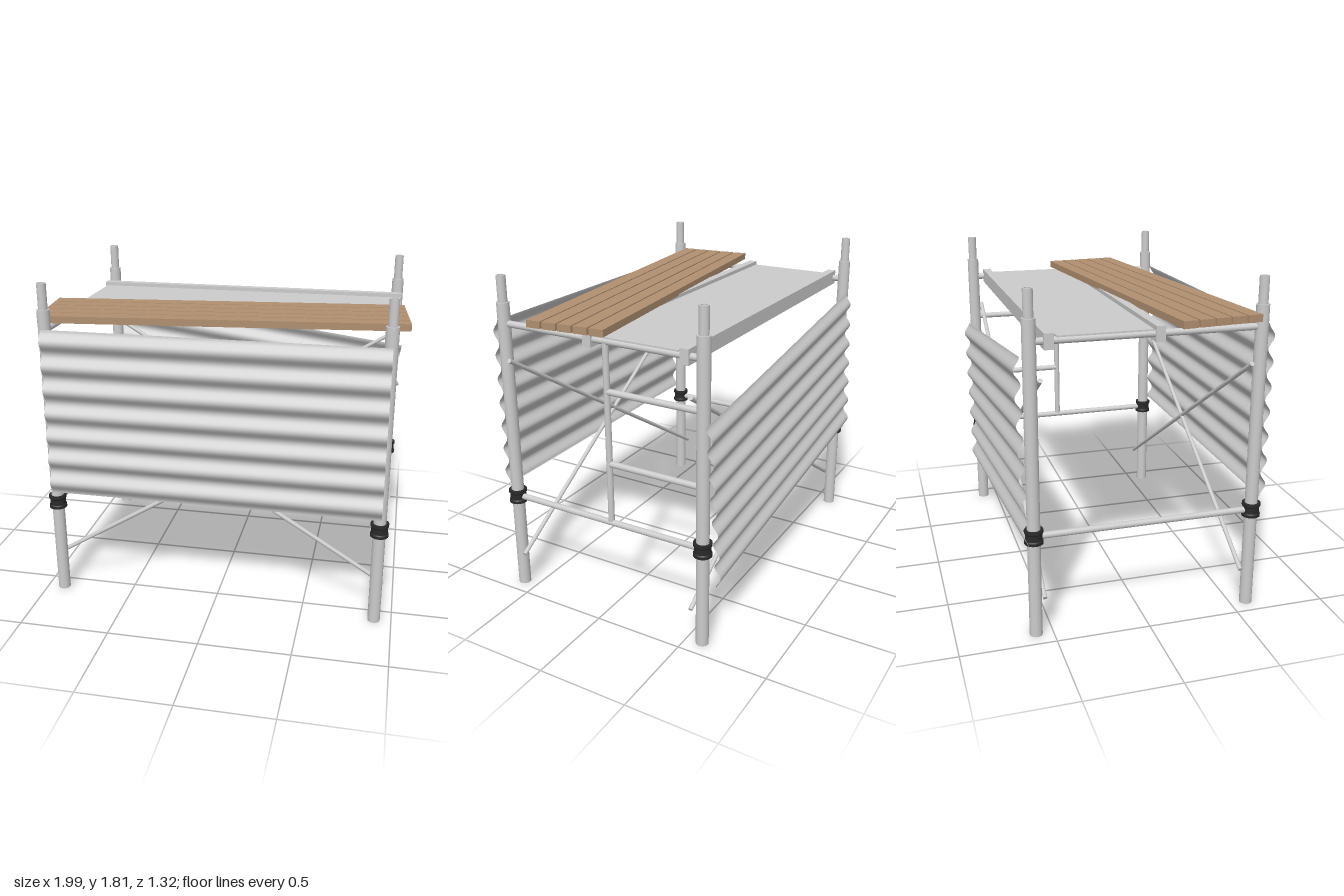
import * as THREE from 'three';

const steel = new THREE.MeshStandardMaterial({ color: 0xcccccc });
const sheetSteel = new THREE.MeshStandardMaterial({ color: 0xcccccc, side: THREE.DoubleSide });
const rubber = new THREE.MeshStandardMaterial({ color: 0x2a2a2a });
const wood = new THREE.MeshStandardMaterial({ color: 0xb08f70 });

const POST_X = 0.905;
const POST_Z = 0.59;

// Lathe with hard edges: every profile segment keeps its own normals
function turned(points, material, name) {
  const group = new THREE.Group();
  group.name = name;
  for (let i = 0; i + 1 < points.length; i++) {
    const pair = [points[i], points[i + 1]].map(([r, y]) => new THREE.Vector2(r, y));
    group.add(new THREE.Mesh(new THREE.LatheGeometry(pair, 24), material));
  }
  group.children.forEach((m) => { m.name = name; });
  return group;
}

// Round bar between two points
function bar(name, from, to, radius) {
  const a = new THREE.Vector3(...from);
  const b = new THREE.Vector3(...to);
  const mesh = new THREE.Mesh(new THREE.CylinderGeometry(radius, radius, a.distanceTo(b), 16), steel);
  mesh.position.copy(a).add(b).multiplyScalar(0.5);
  mesh.quaternion.setFromUnitVectors(new THREE.Vector3(0, 1, 0), b.sub(a).normalize());
  mesh.name = name;
  return mesh;
}

function box(name, size, position, material) {
  const mesh = new THREE.Mesh(new THREE.BoxGeometry(...size), material);
  mesh.position.set(...position);
  mesh.name = name;
  return mesh;
}

// Sheet with seven horizontal waves, bulging towards +z
function corrugatedSheet(name) {
  const width = 1.83, height = 0.94, waves = 7;
  const geometry = new THREE.PlaneGeometry(width, height, 1, waves * 16);
  const p = geometry.attributes.position;
  for (let i = 0; i < p.count; i++) {
    const phase = ((p.getY(i) + height / 2) / height) * waves * Math.PI * 2;
    p.setZ(i, -0.016 * Math.cos(phase));
  }
  geometry.computeVertexNormals();
  const mesh = new THREE.Mesh(geometry, sheetSteel);
  mesh.name = name;
  return mesh;
}

export function createModel() {
  const model = new THREE.Group();
  model.name = 'scaffold';

  // Hollow posts with a thinner spigot on top, and a dark collar on each
  const postProfile = [
    [0.024, 0.05], [0.024, 0], [0.034, 0], [0.034, 1.67], [0.025, 1.67],
    [0.025, 1.81], [0.017, 1.81], [0.017, 1.7], [0, 1.7],
  ];
  const collarProfile = [
    [0.033, 0.525], [0.049, 0.525], [0.049, 0.54], [0.044, 0.546],
    [0.044, 0.578], [0.049, 0.584], [0.049, 0.6], [0.033, 0.6],
  ];
  for (const x of [-POST_X, POST_X]) {
    for (const z of [-POST_Z, POST_Z]) {
      const post = turned(postProfile, steel, 'post');
      const collar = turned(collarProfile, rubber, 'collar');
      // Plug inside the foot of the tube
      const plug = new THREE.Mesh(new THREE.CircleGeometry(0.024, 24), steel);
      plug.name = 'postPlug';
      plug.rotation.x = Math.PI / 2;
      plug.position.y = 0.05;
      post.add(plug);
      post.position.set(x, 0, z);
      collar.position.set(x, 0, z);
      model.add(post, collar);
    }
    // Cross bars joining front and back posts
    model.add(bar('topCrossBar', [x, 1.557, -POST_Z], [x, 1.557, POST_Z], 0.018));
    model.add(bar('lowerCrossBar', [x, 0.56, -POST_Z], [x, 0.56, POST_Z], 0.017));
  }

  // Ladder in the left end frame
  model.add(bar('ladderUpright', [POST_X, 0.57, -0.043], [POST_X, 1.55, -0.043], 0.017));
  for (const y of [0.9, 1.295]) {
    model.add(bar('ladderRung', [POST_X, y, -0.043], [POST_X, y, -POST_Z], 0.017));
  }

  // Crossed diagonal braces at front and back
  for (const z of [-0.542, 0.542]) {
    model.add(bar('diagonalBrace', [-0.92, 0.21, z], [0.945, 1.37, z], 0.012));
    model.add(bar('diagonalBrace', [0.945, 0.21, z], [-0.92, 1.37, z], 0.012));
  }

  // Metal deck between two rails
  model.add(box('deckPlate', [1.83, 0.01, 0.48], [0, 1.575, -0.22], steel));
  for (const z of [0.05, -0.5]) {
    model.add(box('deckRail', [1.865, 0.08, 0.048], [0, 1.558, z], steel));
  }

  // Wooden boards lying slightly askew
  const boards = new THREE.Group();
  boards.name = 'boards';
  for (let i = -2; i <= 2; i++) {
    boards.add(box('board', [1.96, 0.038, 0.079], [0, 0, i * 0.0885], wood));
  }
  boards.position.set(0, 1.609, 0.2525);
  boards.rotation.y = 0.105;
  model.add(boards);

  // Corrugated sheets: straight at the front, tilted at the back
  const frontSheet = corrugatedSheet('frontSheet');
  frontSheet.position.set(0, 1.1, 0.645);
  const backSheet = corrugatedSheet('backSheet');
  backSheet.position.set(-0.012, 0.89, -0.645);
  backSheet.rotation.set(0, Math.PI, 0.131);
  model.add(frontSheet, backSheet);

  return model;
}
